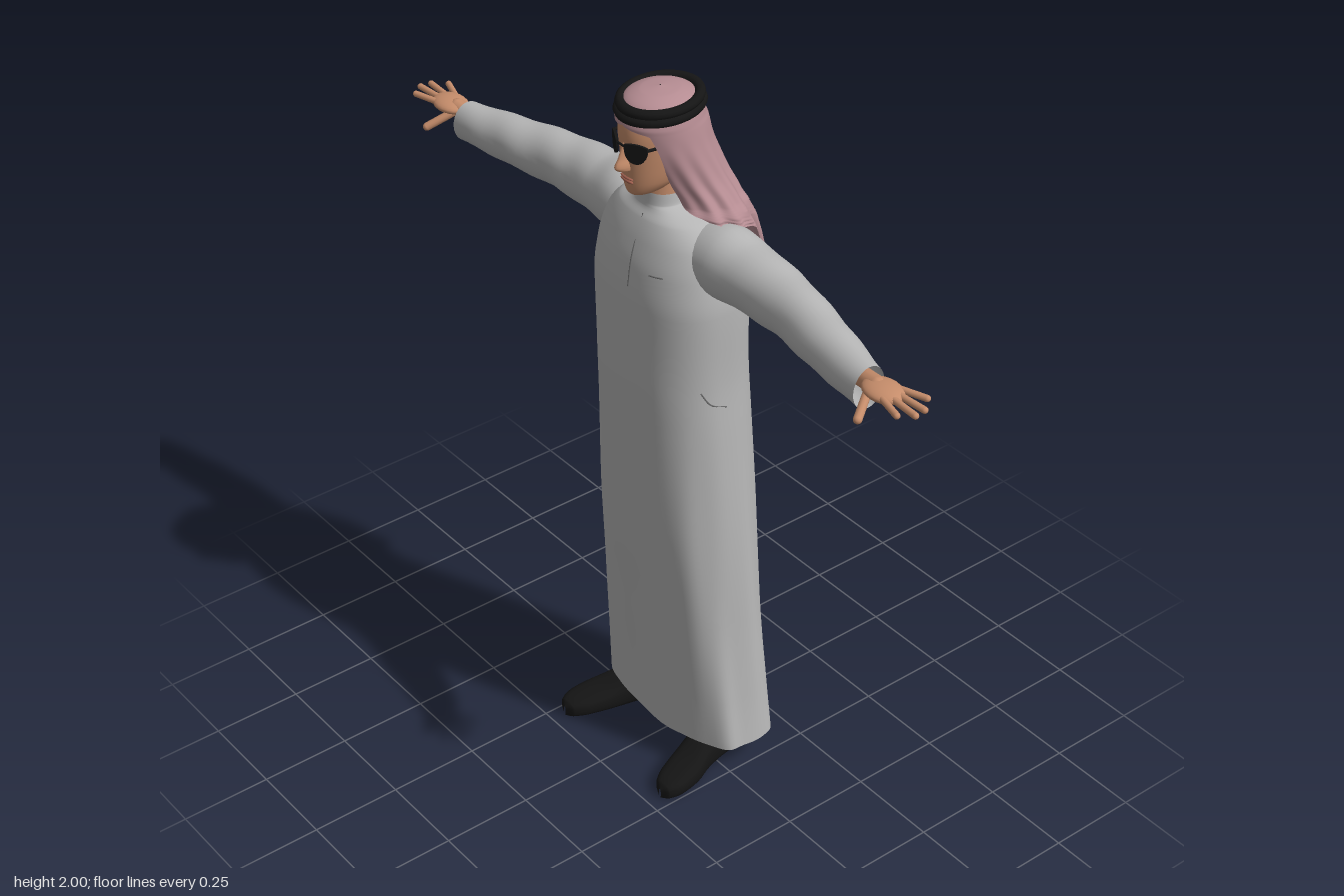
import * as THREE from 'three';

const mat = (name, color, side = THREE.FrontSide) => {
  const m = new THREE.MeshStandardMaterial({ color, side });
  m.name = name;
  return m;
};
const robeGrey = mat('robe grey', 0xb6b6b6, THREE.DoubleSide);
const scarfPink = mat('scarf pink', 0xb58c92, THREE.DoubleSide);
const skin = mat('skin', 0xc68d6b);
const lipTone = mat('lip tone', 0xa0604f);
const black = mat('black', 0x151515);
const seamGrey = mat('seam grey', 0x6c6c6c);

// Smooth, overshoot-free interpolation of key rows; the first column is the parameter
function sample(keys, t) {
  let i = 0;
  while (i < keys.length - 2 && t > keys[i + 1][0]) i++;
  const h = keys[i + 1][0] - keys[i][0];
  const u = (t - keys[i][0]) / h;
  const secant = (k, c) => (keys[k + 1] && keys[k] ? (keys[k + 1][c] - keys[k][c]) / (keys[k + 1][0] - keys[k][0]) : null);
  return keys[i].map((p, c) => {
    if (c === 0) return t;
    const q = keys[i + 1][c], s = secant(i, c);
    const slope = (n) => (n === null ? s : n * s > 0 ? (2 * n * s) / (n + s) : 0);
    const m0 = slope(secant(i - 1, c)) * h, m1 = slope(secant(i + 1, c)) * h;
    const u2 = u * u, u3 = u2 * u;
    return p * (2 * u3 - 3 * u2 + 1) + m0 * (u3 - 2 * u2 + u) + q * (3 * u2 - 2 * u3) + m1 * (u3 - u2);
  });
}

// Skin a surface over cross-sections; point(row, s) with s in 0..1 gives [x, y, z]
function loft(keys, point, { steps = 4, around = 40, closed = true } = {}) {
  const pos = [], idx = [], cols = closed ? around : around + 1;
  const n = (keys.length - 1) * steps;
  for (let i = 0; i <= n; i++) {
    const k = Math.min(Math.floor(i / steps), keys.length - 2), f = i / steps - k;
    const row = sample(keys, keys[k][0] + (keys[k + 1][0] - keys[k][0]) * f);
    for (let j = 0; j < cols; j++) pos.push(...point(row, j / around));
  }
  for (let i = 0; i < n; i++) for (let j = 0; j < around; j++) {
    const a = i * cols + j, b = i * cols + ((j + 1) % cols);
    idx.push(a, b, a + cols, b, b + cols, a + cols);
  }
  const g = new THREE.BufferGeometry();
  g.setAttribute('position', new THREE.Float32BufferAttribute(pos, 3));
  g.setIndex(idx);
  g.computeVertexNormals();
  return g;
}

const TAU = Math.PI * 2;
const pw = (v, p) => Math.sign(v) * Math.abs(v) ** p;
const clamp = THREE.MathUtils.clamp;

function add(parent, name, geometry, material, x = 0, y = 0, z = 0) {
  const m = new THREE.Mesh(geometry, material);
  m.name = name;
  m.position.set(x, y, z);
  parent.add(m);
  return m;
}

// Rounded rod between two points
function rod(parent, name, a, b, r, material) {
  const A = new THREE.Vector3(...a), B = new THREE.Vector3(...b), d = B.clone().sub(A);
  const m = add(parent, name, new THREE.CapsuleGeometry(r, d.length(), 5, 12), material);
  m.position.copy(A).add(B).multiplyScalar(0.5);
  m.quaternion.setFromUnitVectors(new THREE.Vector3(0, 1, 0), d.normalize());
  return m;
}

// Robe sections: y, centre x, half width, front z, back z
const ROBE = [
  [0.1, 0.01, 0.275, 0.09, -0.195], [0.25, 0.005, 0.262, 0.1, -0.195], [0.5, 0, 0.245, 0.12, -0.19],
  [0.8, 0, 0.23, 0.145, -0.18], [1.1, 0, 0.216, 0.155, -0.165], [1.25, 0, 0.21, 0.16, -0.158],
  [1.45, 0, 0.215, 0.16, -0.15], [1.55, 0, 0.203, 0.15, -0.14], [1.62, 0, 0.185, 0.13, -0.125],
  [1.67, 0, 0.145, 0.108, -0.095], [1.695, 0, 0.085, 0.092, -0.05], [1.705, 0, 0.066, 0.09, -0.04],
  [1.735, 0, 0.061, 0.087, -0.03],
];
function robePoint([y, cx, rx, zf, zb], s) {
  const a = s * TAU, low = clamp((1.3 - y) / 1.2, 0, 1);
  const fold = 1 + 0.022 * low * Math.sin(7 * a + 3 * y) + 0.008 * low * Math.sin(13 * a - 4 * y);
  return [cx + rx * fold * pw(Math.sin(a), 0.85), y, (zf + zb) / 2 + ((zf - zb) / 2) * fold * pw(Math.cos(a), 0.85)];
}

// Stitched line laid on the robe, from [y, s] pairs
function seam(parent, name, pairs) {
  const pts = pairs.map(([y, s]) => new THREE.Vector3(...robePoint(sample(ROBE, y), s)));
  add(parent, name, new THREE.TubeGeometry(new THREE.CatmullRomCurve3(pts), 16, 0.002, 5), seamGrey);
}

// Head: y, half width, front z, back z
const HEAD = [
  [1.733, 0.004, 0.105, 0.09], [1.737, 0.025, 0.126, 0.05], [1.75, 0.042, 0.135, 0.01], [1.775, 0.058, 0.139, -0.03],
  [1.81, 0.067, 0.142, -0.05], [1.86, 0.074, 0.145, -0.065], [1.9, 0.076, 0.149, -0.07], [1.94, 0.074, 0.144, -0.07],
  [1.975, 0.05, 0.1, -0.03],
];

// Headscarf: y, half width, half depth, centre z, half angle of the front opening
const SCARF = [
  [1.45, 0.2, 0.105, -0.1, 2.05], [1.58, 0.2, 0.11, -0.078, 2.0], [1.65, 0.2, 0.112, -0.06, 1.95],
  [1.69, 0.188, 0.112, -0.045, 1.0], [1.715, 0.165, 0.104, -0.042, 0.6], [1.78, 0.13, 0.108, -0.016, 0.65],
  [1.86, 0.112, 0.113, 0.018, 0.78], [1.915, 0.103, 0.115, 0.032, 0.7], [1.932, 0.1, 0.113, 0.037, 0],
  [1.955, 0.094, 0.106, 0.037, 0], [1.978, 0.08, 0.09, 0.037, 0], [1.994, 0.048, 0.055, 0.037, 0], [2.0, 0.002, 0.002, 0.037, 0],
];
function scarfPoint([y, rx, rz, cz, a0], s) {
  const a = a0 + s * (TAU - 2 * a0), low = clamp((1.9 - y) / 0.4, 0, 1), hem = clamp((1.62 - y) / 0.17, 0, 1);
  const pleat = 1 + low * (0.07 * Math.sin(15 * a + 2 * y) + 0.04 * Math.sin(8 * a));
  const wide = Math.sin(a) < 0 ? 1 + 0.12 * low : 1;
  return [
    rx * wide * pleat * Math.sin(a),
    y + hem * (-0.038 * (a - Math.PI) + 0.018 * Math.sin(9 * a)),
    cz + rz * pleat * Math.cos(a),
  ];
}

// Sleeve: x, top y, bottom y, front z, back z
const SLEEVE = [
  [0.1, 1.665, 1.5, 0.08, -0.095], [0.2, 1.684, 1.495, 0.075, -0.1], [0.28, 1.67, 1.5, 0.065, -0.1],
  [0.42, 1.656, 1.503, 0.06, -0.085], [0.6, 1.64, 1.508, 0.085, -0.045], [0.785, 1.624, 1.515, 0.106, 0.01],
];
const sleevePoint = ([x, t, b, zf, zb], s) => {
  const a = s * TAU, f = 1 + 0.025 * Math.sin(x * 42 + 2 * a) * clamp((x - 0.15) * 4, 0, 1);
  return [x, (t + b) / 2 + ((t - b) / 2) * f * Math.cos(a), (zf + zb) / 2 + ((zf - zb) / 2) * f * Math.sin(a)];
};

// Shoe: z, centre x, half width, top y
const SHOE = [
  [-0.09, 0.15, 0.004, 0.06], [-0.085, 0.15, 0.035, 0.095], [-0.03, 0.155, 0.05, 0.105], [0.04, 0.17, 0.05, 0.092],
  [0.1, 0.19, 0.054, 0.07], [0.16, 0.205, 0.048, 0.056], [0.2, 0.212, 0.03, 0.044], [0.212, 0.213, 0.004, 0.03],
];
const shoePoint = ([z, cx, w, top], s) => {
  const a = s * TAU;
  return [cx - w * pw(Math.sin(a), 0.7), top * (0.5 + 0.5 * pw(Math.cos(a), 0.7)), z];
};

function buildSide(name, mirror) {
  const side = new THREE.Group();
  side.name = name;
  side.scale.x = mirror;
  add(side, 'sleeve', loft(SLEEVE, sleevePoint, { steps: 7, around: 28 }), robeGrey);
  // Hand with palm, four fingers and thumb
  const hand = new THREE.Group();
  hand.name = 'hand';
  side.add(hand);
  rod(hand, 'wrist', [0.7, 1.58, 0.05], [0.82, 1.597, 0.066], 0.024, skin);
  const palm = add(hand, 'palm', new THREE.SphereGeometry(1, 20, 14), skin, 0.845, 1.6, 0.07);
  palm.scale.set(0.058, 0.018, 0.043);
  [[0.04, 0.932, 0.017], [0.058, 0.962, 0.052], [0.077, 0.966, 0.083], [0.095, 0.94, 0.115]].forEach(([z0, x, z]) =>
    rod(hand, 'finger', [0.865, 1.602, z0], [x, 1.602, z], 0.0085, skin));
  rod(hand, 'thumb', [0.815, 1.59, 0.088], [0.848, 1.555, 0.146], 0.011, skin);
  // Shoe and trouser leg
  add(side, 'shoe', loft(SHOE, shoePoint, { around: 24 }), black);
  add(side, 'trouserLeg', new THREE.CylinderGeometry(0.055, 0.043, 0.25, 20), black, 0.153, 0.2, -0.03);
  // Lens of the sunglasses, its arm and the eyebrow
  const lens = new THREE.Shape();
  lens.moveTo(-0.027, 0.02);
  lens.bezierCurveTo(-0.01, 0.026, 0.02, 0.026, 0.033, 0.02);
  lens.bezierCurveTo(0.036, -0.015, 0.014, -0.029, 0, -0.027);
  lens.bezierCurveTo(-0.018, -0.026, -0.029, -0.008, -0.027, 0.02);
  const l = add(side, 'lens', new THREE.ExtrudeGeometry(lens, { depth: 0.006, bevelEnabled: false, curveSegments: 8 }), black, 0.036, 1.868, 0.14);
  l.rotation.y = 0.5;
  rod(side, 'glassesArm', [0.066, 1.882, 0.125], [0.08, 1.88, 0.03], 0.004, black);
  return side;
}

export function createModel() {
  const model = new THREE.Group();
  model.name = 'robedMan';

  // Robe with standing collar, placket, pocket and side slits
  add(model, 'robe', loft(ROBE, robePoint, { steps: 6, around: 80 }), robeGrey);
  seam(model, 'placket', [[1.5, 0.012], [1.58, 0.012], [1.68, 0.012]]);
  seam(model, 'chestPocket', [[1.555, 0.06], [1.556, 0.075], [1.558, 0.095]]);
  for (const m of [1, -1]) seam(model, 'sideSlit', [[1.24, 0.5 - m * 0.31], [1.2, 0.5 - m * 0.285], [1.18, 0.5 - m * 0.25]]);

  // Head and neck
  const neck = add(model, 'neck', new THREE.CylinderGeometry(0.05, 0.053, 0.13, 24), skin, 0, 1.72, 0.028);
  neck.scale.z = 1.05;
  add(model, 'head', loft(HEAD, ([y, rx, zf, zb], s) => [
    rx * Math.sin(s * TAU), y, (zf + zb) / 2 + ((zf - zb) / 2) * pw(Math.cos(s * TAU), 0.9),
  ]), skin);
  const NOSE = [[1.805, 0.006, 0.14], [1.812, 0.017, 0.166], [1.822, 0.017, 0.174], [1.845, 0.011, 0.163], [1.885, 0.009, 0.148]];
  add(model, 'nose', loft(NOSE, ([y, w, z], s) => [
    w * Math.sin(s * TAU), y, 0.125 + (z - 0.125) * Math.cos(s * TAU),
  ], { around: 20 }), skin);
  for (const [y, h] of [[1.787, 0.004], [1.779, 0.005]]) {
    const lip = add(model, 'lip', new THREE.SphereGeometry(1, 16, 8), lipTone, 0, y, 0.138);
    lip.scale.set(0.024, h, 0.0065);
  }
  rod(model, 'glassesBridge', [-0.012, 1.882, 0.155], [0.012, 1.882, 0.155], 0.003, black);

  // Headscarf and its double cord
  add(model, 'headscarf', loft(SCARF, scarfPoint, { steps: 5, around: 120, closed: false }), scarfPink);
  for (const [y, r] of [[1.954, 0.091], [1.973, 0.087]]) {
    const cord = add(model, 'headCord', new THREE.TorusGeometry(r, 0.0125, 10, 48), black, 0, y, 0.037);
    cord.rotation.x = Math.PI / 2 + 0.06;
    cord.scale.y = 1.14;
  }

  model.add(buildSide('leftSide', 1), buildSide('rightSide', -1));
  return model;
}
